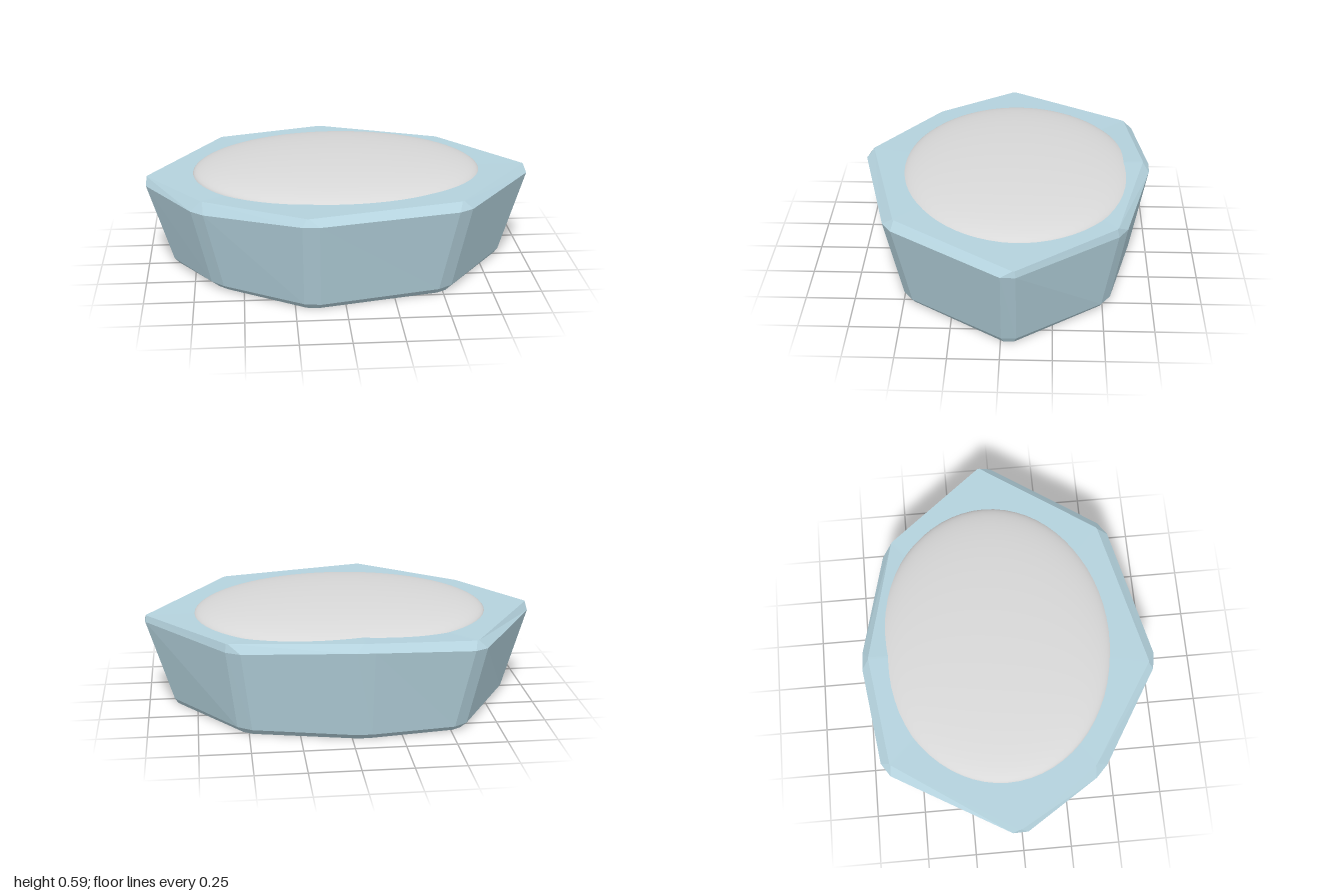
import * as THREE from 'three';

// Corner outlines [x, z] or [x, z, y], running left, back, right, front
const FLOOR = [[-0.86, -0.03], [-0.54, -0.57], [-0.05, -0.635], [0.51, -0.51],
  [0.87, -0.04], [0.5, 0.47], [-0.17, 0.62], [-0.61, 0.34]];
const FOOT = [[-0.89, -0.03], [-0.56, -0.6], [-0.05, -0.665], [0.53, -0.53],
  [0.895, -0.04], [0.52, 0.49], [-0.17, 0.65], [-0.64, 0.36]];
const RIM = [[-1.02, -0.02, 0.445], [-0.635, -0.68, 0.45], [-0.05, -0.755, 0.485], [0.58, -0.6, 0.448],
  [1.03, -0.04, 0.458], [0.6, 0.575, 0.473], [-0.18, 0.755, 0.478], [-0.73, 0.42, 0.436]];
const LIP = [[-0.995, -0.02, 0.485], [-0.61, -0.64, 0.49], [-0.05, -0.715, 0.52], [0.6, -0.56, 0.49],
  [1.0, -0.065, 0.49], [0.58, 0.53, 0.51], [-0.19, 0.712, 0.51], [-0.7, 0.387, 0.49]];

// Replaces each corner by two points, cut back along its edges
function ring(corners, cut, height) {
  const pts = corners.map(([x, z, y = height]) => new THREE.Vector3(x, y, z));
  const n = pts.length;
  return pts.flatMap((p, i) => [pts[(i + n - 1) % n], pts[(i + 1) % n]].map((q) =>
    p.clone().lerp(q, cut / p.distanceTo(q))));
}

// Closed faceted solid through the rings, from bottom to top
function facetedLoft(rings) {
  const out = [];
  const tri = (...corners) => corners.forEach((p) => out.push(p.x, p.y, p.z));
  const n = rings[0].length;
  const middle = (r) => r.reduce((s, p) => s.add(p), new THREE.Vector3()).divideScalar(n);
  const last = rings[rings.length - 1];
  const low = middle(rings[0]), high = middle(last);
  for (let j = 0; j < n; j++) {
    const k = (j + 1) % n;
    for (let i = 0; i < rings.length - 1; i++) {
      const a = rings[i], b = rings[i + 1];
      tri(a[j], b[j], b[k]);
      tri(a[j], b[k], a[k]);
    }
    tri(low, rings[0][j], rings[0][k]);
    tri(high, last[k], last[j]);
  }
  const geo = new THREE.BufferGeometry();
  geo.setAttribute('position', new THREE.Float32BufferAttribute(out, 3));
  geo.computeVertexNormals();
  return geo;
}

export function createModel() {
  const group = new THREE.Group();
  group.name = 'snowCappedBlock';
  const ice = new THREE.MeshStandardMaterial({ color: 0xb4d2dd });
  ice.name = 'paleBlue';
  const snow = new THREE.MeshStandardMaterial({ color: 0xd8d8d8 });
  snow.name = 'softGrey';

  // Bevelled block, widening upwards
  const block = new THREE.Mesh(facetedLoft([
    ring(FLOOR, 0.03, 0), ring(FOOT, 0.045, 0.03), ring(RIM, 0.045, 0.46), ring(LIP, 0.006, 0.5),
  ]), ice);
  block.name = 'block';
  group.add(block);

  // Low smooth mound on top, leaning slightly forward
  const domeGeo = new THREE.SphereGeometry(1, 64, 20, 0, Math.PI * 2, 0, Math.PI / 2);
  domeGeo.scale(0.755, 0.104, 0.6);
  const mound = new THREE.Mesh(domeGeo, snow);
  mound.name = 'mound';
  mound.position.set(0, 0.481, -0.06);
  mound.rotation.x = -0.008;
  group.add(mound);
  return group;
}
